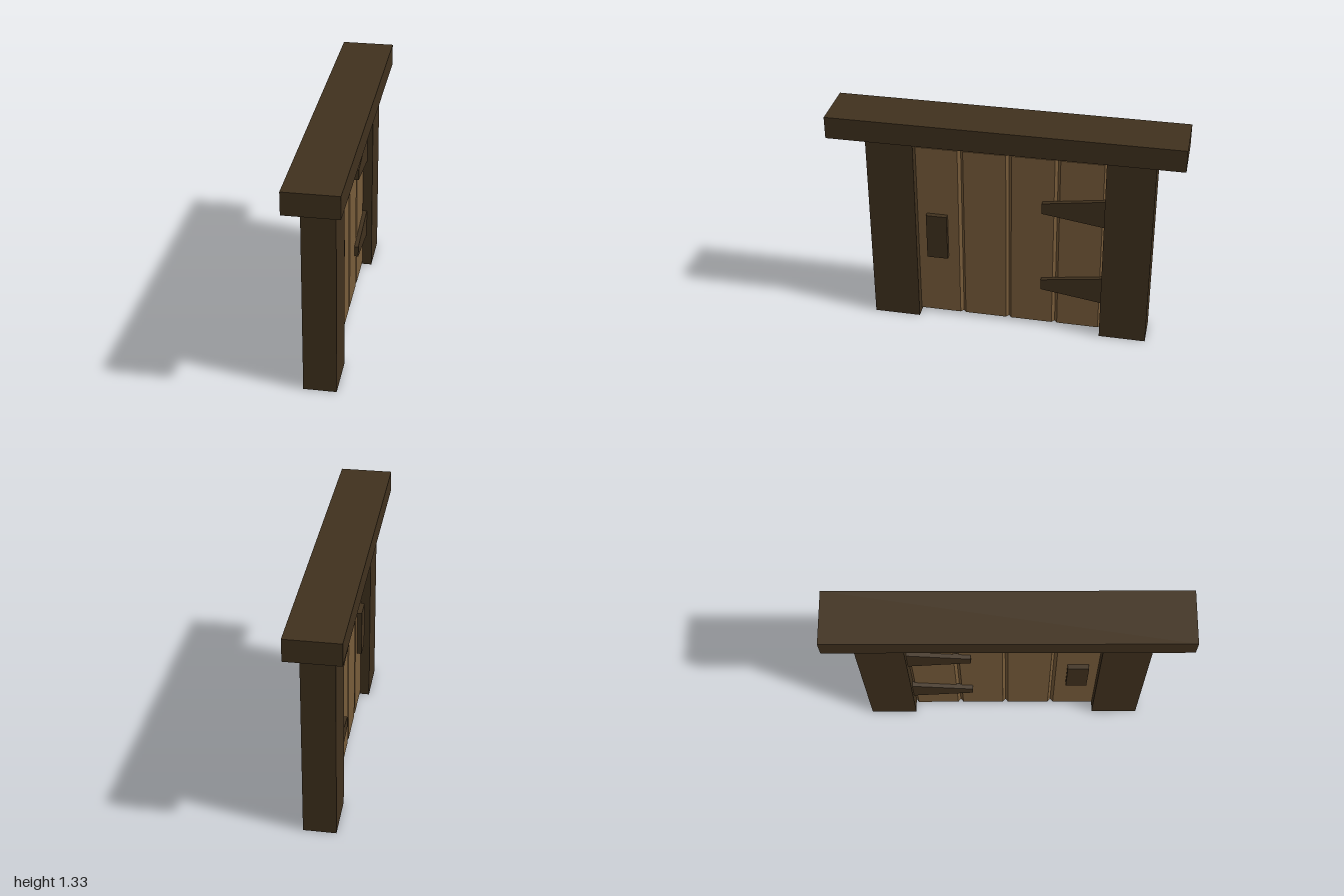
import * as THREE from 'three';

const darkWood = new THREE.MeshStandardMaterial({ color: 0x40311e, flatShading: true });
const plankWood = new THREE.MeshStandardMaterial({ color: 0x785c3a, flatShading: true });

function add(group, name, geometry, material, x, y, z) {
  const mesh = new THREE.Mesh(geometry, material);
  mesh.name = name;
  mesh.position.set(x, y, z);
  group.add(mesh);
  return mesh;
}

function extrude(points, depth) {
  const shape = new THREE.Shape(points.map(([a, b]) => new THREE.Vector2(a, b)));
  return new THREE.ExtrudeGeometry(shape, { depth, bevelEnabled: false });
}

// Plank with chamfered long edges, standing upright
function plankGeometry(width, halfThickness, height) {
  const w = width / 2, t = halfThickness, c = 0.016, d = 0.02;
  const g = extrude([
    [t, -w + c], [t, w - c], [t - d, w], [-t + d, w],
    [-t, w - c], [-t, -w + c], [-t + d, -w], [t - d, -w],
  ], height);
  return g.rotateX(-Math.PI / 2);
}

// Tapered strap pointing along +z, centred on its thickness
function strapGeometry(thickness) {
  const g = extrude([[-0.6, -0.09], [-0.21, -0.033], [-0.21, 0.033], [-0.6, 0.09]], thickness);
  return g.translate(0, 0, -thickness / 2).rotateY(-Math.PI / 2);
}

export function createModel() {
  const model = new THREE.Group();
  model.name = 'door';

  // Frame
  add(model, 'lintel', new THREE.BoxGeometry(0.304, 0.13, 2), darkWood, 0, 1.265, 0);
  const post = new THREE.BoxGeometry(0.186, 1.2, 0.272);
  add(model, 'frontPost', post, darkWood, 0, 0.6, 0.655);
  add(model, 'backPost', post, darkWood, 0, 0.6, -0.705);

  // Door leaf
  const leaf = new THREE.Group();
  leaf.name = 'doorLeaf';
  model.add(leaf);
  const width = 0.277;
  const plank = plankGeometry(width, 0.037, 1.11);
  for (let i = 0; i < 4; i++) {
    add(leaf, `plank${i + 1}`, plank, plankWood, 0, 0.02, 0.4 - i * width);
  }

  // Hinge straps and handle plates on both faces
  const strap = strapGeometry(0.03);
  const handle = new THREE.BoxGeometry(0.036, 0.285, 0.122);
  for (const side of [1, -1]) {
    for (const y of [0.302, 0.823]) add(leaf, 'hingeStrap', strap, darkWood, side * 0.046, y, 0);
    add(leaf, 'handlePlate', handle, darkWood, side * 0.048, 0.558, 0.403);
  }
  return model;
}
